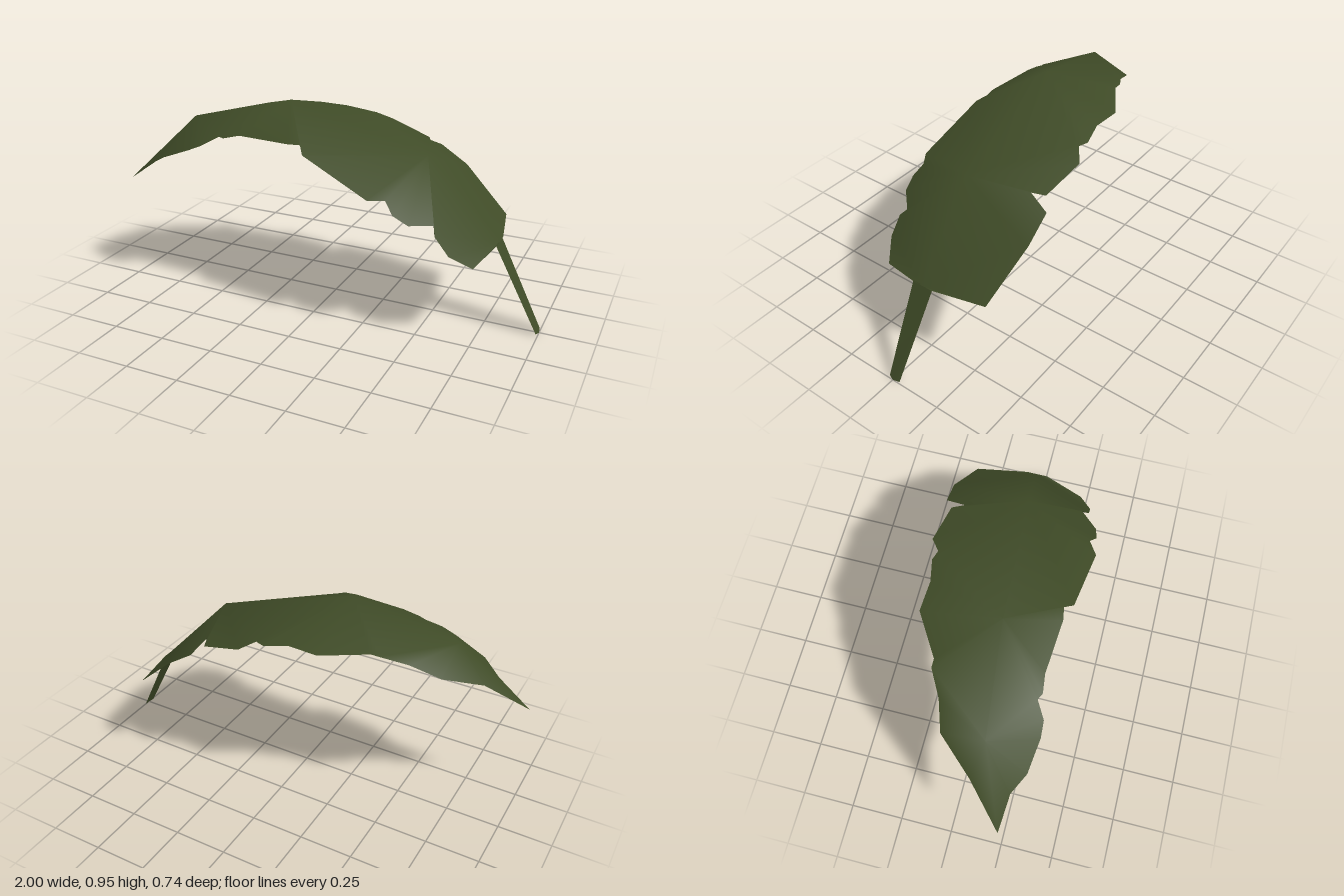
import * as THREE from 'three';

// Points are [x, y, z], running from the leaf tip (-x) to the stalk (+x).
const midrib = [
  [-1, 0.51, 0.235], [-0.69, 0.83, 0.105], [-0.2, 0.95, 0.055],
  [0.45, 0.76, 0.01], [0.79, 0.4, -0.02],
];
const frontEdge = [
  [-0.84, 0.62, 0.25], [-0.75, 0.67, 0.3], [-0.6, 0.73, 0.32], [-0.53, 0.76, 0.315],
  [-0.46, 0.8, 0.27], [-0.43, 0.8, 0.285], [-0.35, 0.82, 0.275], [-0.1, 0.82, 0.295],
  [-0.04, 0.82, 0.285], [-0.01, 0.79, 0.325], [0.31, 0.65, 0.368], [0.375, 0.645, 0.325],
  [0.42, 0.595, 0.352], [0.485, 0.556, 0.34], [0.57, 0.54, 0.255], [0.585, 0.505, 0.288],
  [0.65, 0.425, 0.288], [0.74, 0.36, 0.225], [0.79, 0.4, 0.035],
];
const backEdge = [
  [-0.83, 0.68, 0.07], [-0.69, 0.76, -0.09], [-0.56, 0.81, -0.13], [-0.45, 0.85, -0.19],
  [-0.41, 0.85, -0.19], [-0.22, 0.85, -0.308], [-0.08, 0.85, -0.3], [0.03, 0.83, -0.325],
  [0.075, 0.83, -0.31], [0.14, 0.795, -0.357], [0.34, 0.735, -0.328], [0.365, 0.74, -0.27],
  [0.39, 0.695, -0.367], [0.52, 0.61, -0.372], [0.74, 0.41, -0.317], [0.79, 0.4, -0.07],
];

function surface(points, index) {
  const geometry = new THREE.BufferGeometry();
  geometry.setAttribute('position', new THREE.Float32BufferAttribute(points.flat(), 3));
  geometry.setIndex(index);
  geometry.computeVertexNormals();
  return geometry;
}

// Joins the midrib to one edge, each edge point to the nearest midrib point.
function fillSide(index, edge, offset, flip) {
  let i = 0, j = 0;
  while (i < midrib.length - 1 || j < edge.length - 1) {
    const ribDone = i === midrib.length - 1;
    const middle = ribDone ? Infinity : (midrib[i][0] + midrib[i + 1][0]) / 2;
    const alongEdge = j < edge.length - 1 && edge[j + 1][0] < middle;
    const a = i, b = offset + j;
    const c = alongEdge ? offset + ++j : ++i;
    index.push(...(flip ? [a, c, b] : [a, b, c]));
  }
}

export function createModel() {
  const group = new THREE.Group();
  group.name = 'leaf';
  const leafGreen = new THREE.MeshStandardMaterial({ color: 0x3f4b27, side: THREE.DoubleSide });
  leafGreen.name = 'leafGreen';

  // Arched blade, folded down on both sides of the midrib
  const index = [];
  fillSide(index, frontEdge, midrib.length, false);
  fillSide(index, backEdge, midrib.length + frontEdge.length, true);
  const blade = new THREE.Mesh(surface([...midrib, ...frontEdge, ...backEdge], index), leafGreen);
  blade.name = 'blade';

  // Flat tapering stalk
  const stalkPoints = [
    [0.785, 0.4, -0.07], [0.785, 0.4, 0.035], [0.99, 0.003, 0.027], [1, 0, 0], [0.995, 0.004, -0.035],
  ];
  const stalk = new THREE.Mesh(surface(stalkPoints, [0, 1, 2, 0, 2, 3, 0, 3, 4]), leafGreen);
  stalk.name = 'stalk';

  group.add(blade, stalk);
  return group;
}
